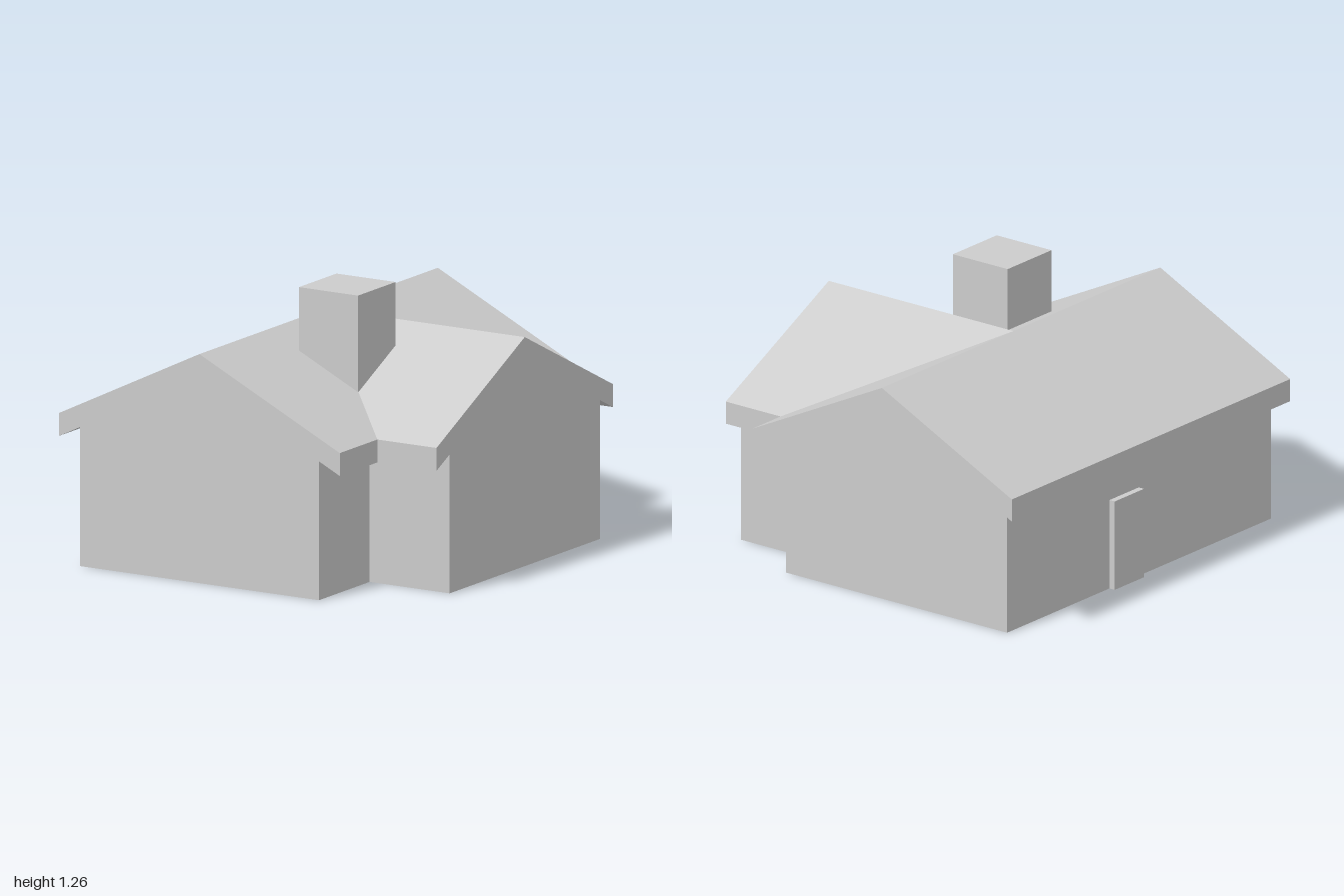
import * as THREE from 'three';

const EAVE = 0.74, WALL = 0.63;              // half widths of roof and walls
const RIDGE_Y = 1.05, EAVE_Y = 0.688, THICK = 0.105;
const SLOPE = (RIDGE_Y - EAVE_Y) / EAVE;

const material = new THREE.MeshStandardMaterial({ color: 0xcccccc, flatShading: true });

function addMesh(parent, name, geometry) {
  const mesh = new THREE.Mesh(geometry, material);
  mesh.name = name;
  parent.add(mesh);
  return mesh;
}

// Extrude a gable outline along +z from start to end
function prism(points, start, end) {
  const shape = new THREE.Shape(points.map(([x, y]) => new THREE.Vector2(x, y)));
  return new THREE.ExtrudeGeometry(shape, { depth: end - start, bevelEnabled: false }).translate(0, 0, start);
}

// A gabled block: pentagon walls under a chevron roof, running along local z
function gableBlock(name, wallRange, roofRange) {
  const block = new THREE.Group();
  block.name = name;
  const under = RIDGE_Y - THICK;
  const wallTop = under - SLOPE * WALL;
  addMesh(block, name + 'Walls', prism(
    [[-WALL, 0], [WALL, 0], [WALL, wallTop], [0, under], [-WALL, wallTop]], ...wallRange));
  addMesh(block, name + 'Roof', prism(
    [[-EAVE, EAVE_Y - THICK], [0, under], [EAVE, EAVE_Y - THICK],
      [EAVE, EAVE_Y], [0, RIDGE_Y], [-EAVE, EAVE_Y]], ...roofRange));
  return block;
}

// Box given by its minimum and maximum corners
function boxBetween(a, b) {
  return new THREE.BoxGeometry(b[0] - a[0], b[1] - a[1], b[2] - a[2])
    .translate((a[0] + b[0]) / 2, (a[1] + b[1]) / 2, (a[2] + b[2]) / 2);
}

export function createModel() {
  const house = new THREE.Group();
  house.name = 'house';

  // Main house: flush front gable, overhanging back gable
  const main = gableBlock('mainHouse', [-0.895, 1], [-1, 1]);
  main.position.x = -0.16;
  house.add(main);

  // Cross wing: its ridge meets the main ridge
  const wing = gableBlock('sideWing', [0, 0.892], [-0.16, 0.892]);
  wing.rotation.y = Math.PI / 2;
  wing.position.z = -0.055;
  house.add(wing);

  // Chimney in the valley and door on the left-hand long wall
  addMesh(house, 'chimney', boxBetween([0, 0.7, 0.105], [0.312, 1.262, 0.42]));
  addMesh(house, 'door', boxBetween([-0.82, 0, -0.16], [-0.78, 0.42, 0.05]));

  return house;
}
